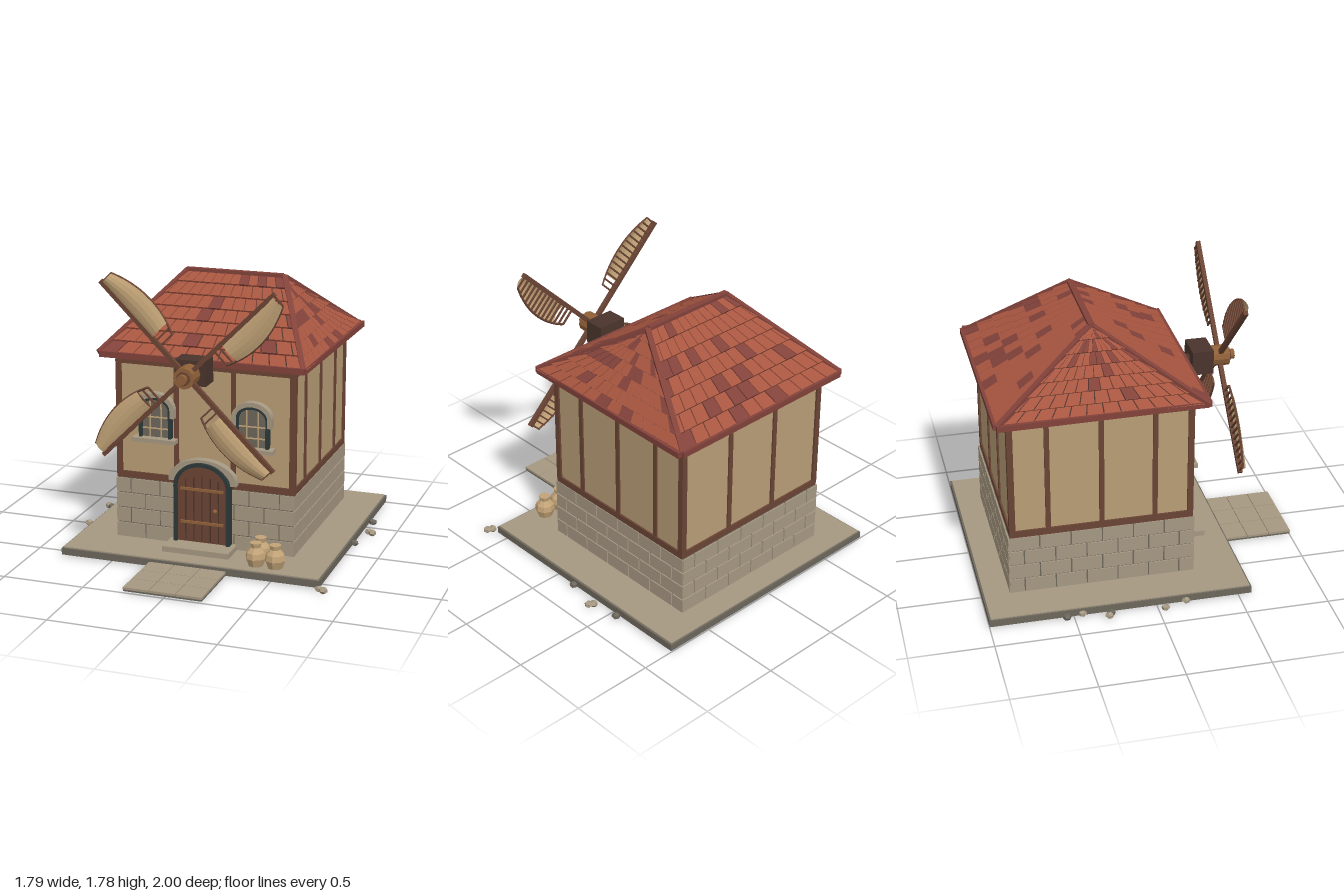
import * as THREE from 'three';
import { mergeGeometries } from 'three/addons/utils/BufferGeometryUtils.js';
import { ConvexGeometry } from 'three/addons/geometries/ConvexGeometry.js';

const paint = (name, color, side = THREE.FrontSide) =>
  new THREE.MeshStandardMaterial({ name, color, side, flatShading: true });
const M = {
  plaster: paint('plaster', 0xb89d76),
  stone: paint('pale stone', 0xa69882),
  mortar: paint('dark stone', 0x6c675c),
  tile: paint('red tile', 0xa85640),
  darkTile: paint('dark red tile', 0x82423a),
  timber: paint('timber', 0x6a4434),
  darkWood: paint('dark wood', 0x4a342c),
  cloth: paint('canvas', 0xc2a377, THREE.DoubleSide),
  frame: paint('dark teal', 0x2e393a),
  brass: paint('bronze wood', 0x8f6038),
};
const V = (x, y, z) => new THREE.Vector3(x, y, z);

function add(parent, name, geo, mat, x = 0, y = 0, z = 0) {
  const m = new THREE.Mesh(geo, mat);
  m.name = name;
  m.position.set(x, y, z);
  parent.add(m);
  return m;
}
const box = (parent, name, mat, [w, h, d], [x, y, z]) =>
  add(parent, name, new THREE.BoxGeometry(w, h, d), mat, x, y, z);
const boxGeo = (w, h, d, x, y, z) => new THREE.BoxGeometry(w, h, d).translate(x, y, z);

// Straight square bar between two points
function bar(parent, name, mat, a, b, t) {
  const m = add(parent, name, new THREE.BoxGeometry(t, t, a.distanceTo(b)), mat);
  m.position.copy(a).lerp(b, 0.5);
  m.lookAt(b);
  return m;
}

// Arched panel, or arched frame when a border is given
function arch(w, y0, spring, top, depth, border = 0) {
  const s = new THREE.Shape(), r = w / 2;
  s.moveTo(r, y0);
  s.lineTo(r, spring);
  s.absellipse(0, spring, r, top - spring, 0, Math.PI, false);
  s.lineTo(-r, y0);
  if (border) {
    s.lineTo(-r + border, y0);
    s.lineTo(-r + border, spring);
    s.absellipse(0, spring, r - border, top - spring - border, Math.PI, 0, true);
    s.lineTo(r - border, y0);
  }
  return new THREE.ExtrudeGeometry(s, { depth, bevelEnabled: false, curveSegments: 12 });
}

const HX = 0.567, ZF = 0.287, ZB = -0.838, ZC = (ZF + ZB) / 2;

// Yard slab, path, step and pebbles
function buildGround(g) {
  box(g, 'slabEdge', M.mortar, [1.62, 0.042, 1.58], [0, 0.031, -0.21]);
  box(g, 'slabTop', M.stone, [1.6, 0.008, 1.56], [0, 0.055, -0.21]);
  box(g, 'pathBed', M.mortar, [0.48, 0.014, 0.415], [0, 0.019, 0.79]);
  const tiles = [];
  for (let i = 0; i < 3; i++) for (let j = 0; j < 3; j++)
    tiles.push(boxGeo(0.157, 0.014, 0.137, (i - 1) * 0.162, 0.03, 0.65 + j * 0.1405));
  add(g, 'pathTiles', mergeGeometries(tiles), M.stone);
  box(g, 'doorStep', M.stone, [0.42, 0.035, 0.17], [0, 0.076, 0.365]);
  const spots = [[-.825, -.545], [-.81, -.45], [-.865, -.3], [-.84, -.285], [-.86, .04], [-.815, .175],
    [.835, -.555], [.855, -.38], [.88, -.365], [.82, -.16], [.82, .62], [.85, .635]];
  spots.forEach(([x, z], i) => {
    const p = add(g, 'pebble', new THREE.DodecahedronGeometry(0.026), i % 3 ? M.stone : M.mortar, x, 0.022, z);
    p.scale.y = 0.8;
    p.rotation.y = i;
  });
  const sack = [[0, 0], [.045, 0], [.062, .05], [.056, .085], [.03, .115], [.036, .142], [0, .142]]
    .map(p => new THREE.Vector2(...p));
  for (const [x, z] of [[.39, .38], [.39, .475], [.51, .475]])
    add(g, 'sack', new THREE.LatheGeometry(sack, 8), M.cloth, x, 0.058, z);
}

// Brick courses over a mortar core, then plaster walls with timber framing
function buildWalls(g) {
  const y0 = 0.058, h = 0.096, D = ZF - ZB;
  box(g, 'mortarCore', M.mortar, [HX * 2 - .016, 4 * h - .004, D - .016], [0, y0 + 2 * h, ZC]);
  const bricks = [];
  const course = (len, row, place) => {
    const n = 6, w = len / n;
    for (let i = -1; i < n; i++) {
      const a = Math.max(0, (i + (row % 2 ? 0.5 : 1)) * w), b = Math.min(len, (i + (row % 2 ? 1.5 : 2)) * w);
      if (b - a > 0.01) place((a + b) / 2 - len / 2, b - a - 0.008);
    }
  };
  for (let r = 0; r < 4; r++) {
    const y = y0 + (r + 0.5) * h;
    for (const s of [-1, 1]) {
      course(HX * 2, r, (c, w) => bricks.push(boxGeo(w, h - .008, .02, c, y, ZC + s * (D / 2 - .01))));
      course(D, r + 1, (c, w) => bricks.push(boxGeo(.02, h - .008, w, s * (HX - .01), y, ZC + c)));
    }
  }
  add(g, 'bricks', mergeGeometries(bricks), M.stone);

  const X = 0.553, Z = 0.54, t = 0.03;
  box(g, 'plasterWalls', M.plaster, [X * 2, 0.77, Z * 2], [0, 0.825, ZC]);
  const beams = [];
  for (const s of [-1, 1]) {
    for (const y of [0.46, 1.18]) {
      beams.push(boxGeo(X * 2 + .02, .042, t, 0, y, ZC + s * (Z - .004)));
      beams.push(boxGeo(t, .042, Z * 2 + .02, s * (X - .004), y, ZC));
    }
    for (const u of [-1, 1]) beams.push(boxGeo(.036, .72, .036, s * (X - .006), .82, ZC + u * (Z - .006)));
    for (const x of [-.18, .18]) beams.push(boxGeo(t, .72, t, x, .82, ZC + s * (Z - .006)));
    for (const z of [-.32, 0, .32]) beams.push(boxGeo(t, .72, t, s * (X - .006), .82, ZC + z));
  }
  add(g, 'timberFrame', mergeGeometries(beams), M.timber);
}

function buildDoor(g) {
  add(g, 'doorArchTrim', arch(.43, .47, .48, .615, .05, .04), M.stone, 0, 0, .268);
  add(g, 'doorFrame', arch(.354, .094, .45, .598, .07, .022), M.frame, 0, 0, .268);
  add(g, 'doorPanel', arch(.315, .094, .44, .576, .052), M.timber, 0, 0, .268);
  for (let i = -2; i <= 2; i++)
    box(g, 'plankGap', M.darkWood, [.007, .42 - Math.abs(i) * .015, .004], [i * .052, .31 - Math.abs(i) * .007, .321]);
  for (const y of [.22, .43]) box(g, 'doorStrap', M.brass, [.27, .016, .012], [0, y, .326]);
  add(g, 'doorKnob', new THREE.IcosahedronGeometry(.014, 1), M.brass, .085, .305, .332);
}

function buildWindow(g, x) {
  const w = new THREE.Group();
  w.name = 'window';
  w.position.set(x, 0, .255);
  g.add(w);
  add(w, 'windowTrim', arch(.25, .85, .9, 1.0, .058, .028), M.stone);
  add(w, 'windowFrame', arch(.205, .72, .89, .974, .052, .018), M.frame);
  add(w, 'windowGlass', arch(.18, .72, .885, .96, .03), M.mortar);
  for (const bx of [-.035, .035]) box(w, 'windowBar', M.cloth, [.007, .225, .008], [bx, .835, .033]);
  for (const by of [.775, .845]) box(w, 'windowBar', M.cloth, [.17, .007, .008], [0, by, .033]);
  box(w, 'windowSill', M.stone, [.275, .025, .08], [0, .708, .04]);
}

// Hipped roof with rows of overlapping tiles
function buildRoof(g) {
  const E = 0.635, R = 0.31, Z = 0.615, y = 1.225, top = 1.63;
  const fl = V(-E, y, ZC + Z), fr = V(E, y, ZC + Z), bl = V(-E, y, ZC - Z), br = V(E, y, ZC - Z);
  const rl = V(-R, top, ZC), rr = V(R, top, ZC);
  add(g, 'roofCore', new ConvexGeometry([fl, fr, bl, br, rl, rr]), M.darkWood);

  const tiles = [[], []];
  let seed = 7;
  const rand = () => (seed = (seed * 16807) % 2147483647) / 2147483647;
  const slope = (a, b, c, d, n, rows = 7) => {
    const normal = b.clone().sub(a).cross(d.clone().sub(a)).normalize();
    const at = (u, v) => a.clone().lerp(b, u).lerp(d.clone().lerp(c, u), v);
    for (let r = 0; r < rows; r++) for (let i = 0; i <= n; i++) {
      const u0 = Math.max(0, (i - (r % 2) / 2 + .04) / n), u1 = Math.min(1, (i + 1 - (r % 2) / 2 - .04) / n);
      if (u1 - u0 < .01) continue;
      const geo = new THREE.BoxGeometry(1, 1, 1), p = geo.attributes.position;
      for (let k = 0; k < p.count; k++) {
        const v = p.getY(k) + .5;
        const q = at(u0 + (u1 - u0) * (p.getX(k) + .5), (r + v * .98) / rows);
        q.addScaledVector(normal, (p.getZ(k) + .5) * (.016 - .01 * v));
        p.setXYZ(k, q.x, q.y, q.z);
      }
      tiles[rand() < .2 ? 1 : 0].push(geo);
    }
  };
  slope(fl, fr, rr, rl, 12);
  slope(br, bl, rl, rr, 12);
  slope(fr, br, rr, rr, 12);
  slope(bl, fl, rl, rl, 12);
  add(g, 'roofTiles', mergeGeometries(tiles[0]), M.tile);
  add(g, 'darkRoofTiles', mergeGeometries(tiles[1]), M.darkTile);

  const edge = (a, b, t) => bar(g, 'roofEdge', M.darkTile, a, b, t);
  edge(fl, fr, .036); edge(fr, br, .036); edge(br, bl, .036); edge(bl, fl, .036);
  edge(fl, rl, .032); edge(bl, rl, .032); edge(fr, rr, .032); edge(br, rr, .032);
  edge(rl, rr, .036);
}

// One sail: spar along +y, canvas on the +x side
function buildSail() {
  const s = new THREE.Group();
  s.name = 'sail';
  const width = r => .153 - .93 * (r - .45) ** 2;
  box(s, 'spar', M.timber, [.026, .74, .026], [0, .37, 0]);
  const cloth = new THREE.PlaneGeometry(1, 1, 5, 9), p = cloth.attributes.position;
  for (let k = 0; k < p.count; k++) {
    const u = p.getX(k) + .5, r = .3 + .425 * (p.getY(k) + .5);
    p.setXYZ(k, u * width(r), r, .006 + .02 * Math.sin(Math.PI * u));
  }
  add(s, 'canvas', cloth, M.cloth);
  const pts = [];
  for (let i = 0; i <= 8; i++) { const r = .23 + .5 * i / 8; pts.push(V(width(r), r, 0)); }
  add(s, 'outerRail', new THREE.TubeGeometry(new THREE.CatmullRomCurve3(pts), 16, .007, 4), M.timber);
  for (let i = 0; i <= 13; i++) {
    const r = .232 + .496 * i / 13;
    box(s, 'rung', M.timber, [width(r), .01, .01], [width(r) / 2, r, -.004]);
  }
  return s;
}

function buildMill(g) {
  const wheel = new THREE.Group();
  wheel.name = 'sailWheel';
  wheel.position.set(0, 1.2, .572);
  g.add(wheel);
  for (let k = 0; k < 4; k++) {
    const s = buildSail();
    s.rotation.z = Math.PI / 4 + k * Math.PI / 2;
    wheel.add(s);
  }
  const disc = (name, mat, r, len, z) =>
    add(wheel, name, new THREE.CylinderGeometry(r, r, len, 12).rotateX(Math.PI / 2), mat, 0, 0, z);
  disc('hub', M.brass, .063, .11, 0);
  disc('hubRing', M.timber, .042, .016, .058);
  disc('hubCap', M.brass, .03, .04, .073);
  disc('axle', M.darkWood, .03, .4, -.2);
  box(g, 'gearBox', M.darkWood, [.19, .15, .13], [0, 1.205, .45]);
}

export function createModel() {
  const model = new THREE.Group();
  model.name = 'windmillHouse';
  const g = new THREE.Group();
  g.name = 'house';
  g.position.x = -0.01;
  model.add(g);
  buildGround(g);
  buildWalls(g);
  buildDoor(g);
  for (const x of [-.305, .305]) buildWindow(g, x);
  buildRoof(g);
  buildMill(g);
  return model;
}
